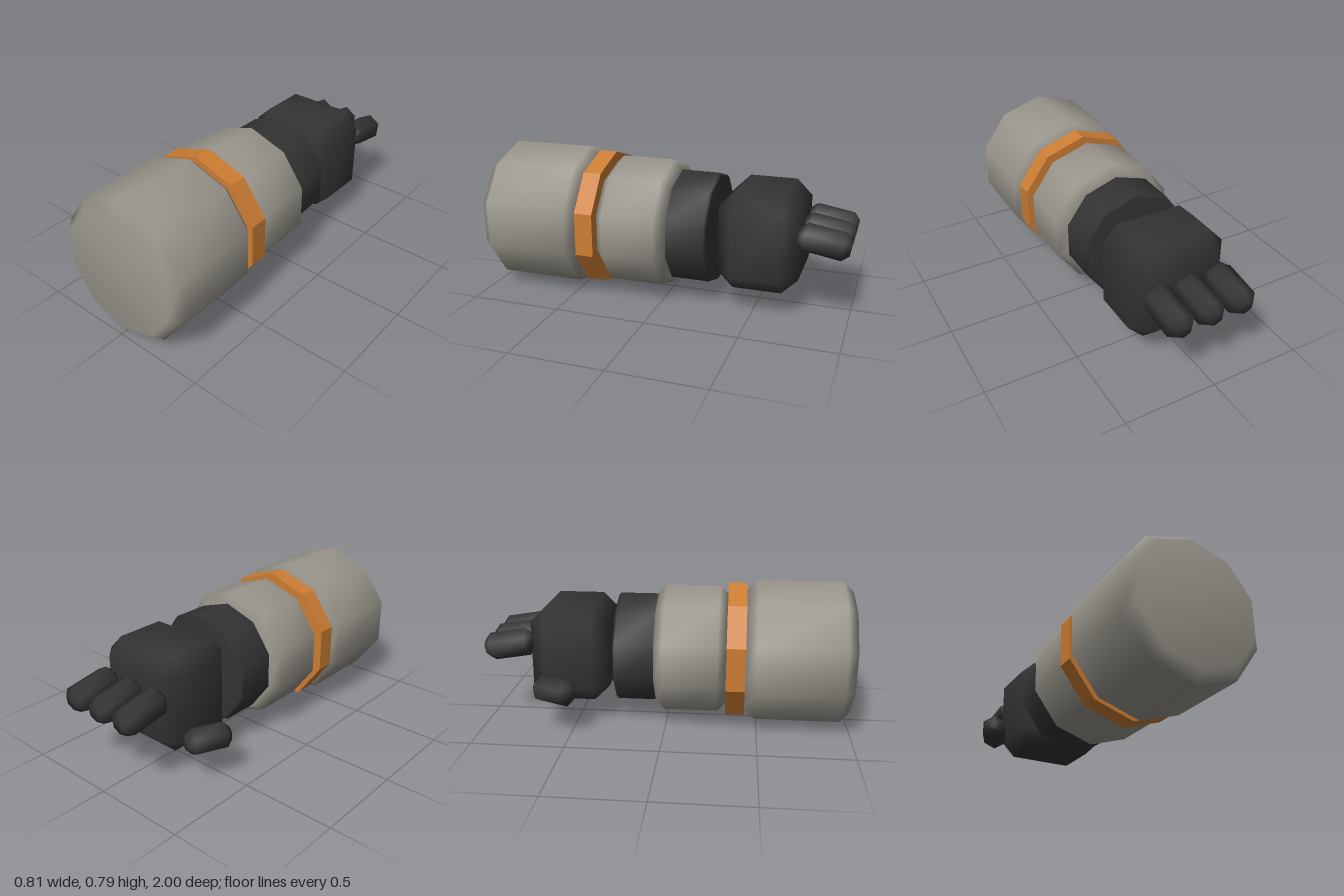
import * as THREE from 'three';
import { mergeVertices } from 'three/addons/utils/BufferGeometryUtils.js';
import { ConvexGeometry } from 'three/addons/geometries/ConvexGeometry.js';

const AXIS_X = 0.022, AXIS_Y = 0.397;

function material(name, color, flatShading = false) {
  const m = new THREE.MeshStandardMaterial({ color, flatShading });
  m.name = name;
  return m;
}

// Weld all corners so bevels blend softly into the faces
function soften(geometry) {
  geometry.deleteAttribute('normal');
  geometry.deleteAttribute('uv');
  const g = mergeVertices(geometry, 1e-4);
  g.computeVertexNormals();
  return g;
}

// Bevelled prism along z, centred on the origin, with a corner pointing up
function bevelledPrism(radius, length, bevel, sides) {
  const h = length / 2;
  const profile = [
    [0, -h], [radius - bevel, -h], [radius, -h + bevel],
    [radius, h - bevel], [radius - bevel, h], [0, h],
  ].map(([r, y]) => new THREE.Vector2(r, y));
  return soften(new THREE.LatheGeometry(profile, sides).rotateX(Math.PI / 2));
}

// Box with every edge and corner cut off
function bevelledBox(w, h, d, bevel) {
  const points = [];
  for (const x of [-1, 1]) for (const y of [-1, 1]) for (const z of [-1, 1]) {
    for (let axis = 0; axis < 3; axis++) {
      const half = [w / 2, h / 2, d / 2].map((v, i) => (i === axis ? v : v - bevel));
      points.push(new THREE.Vector3(x * half[0], y * half[1], z * half[2]));
    }
  }
  return soften(new ConvexGeometry(points));
}

export function createModel() {
  const group = new THREE.Group();
  group.name = 'mechanicalArm';
  const grey = material('warmGrey', 0x99958c);
  const dark = material('charcoal', 0x333333);
  const orange = material('orange', 0xcc7d33, true);

  function add(name, geometry, mat, x, y, z) {
    const mesh = new THREE.Mesh(geometry, mat);
    mesh.name = name;
    mesh.position.set(x, y, z);
    group.add(mesh);
    return mesh;
  }

  // Ten-sided arm sections between two z positions
  function section(name, radius, z0, z1, bevel, mat) {
    add(name, bevelledPrism(radius, z1 - z0, bevel, 10), mat, AXIS_X, AXIS_Y, (z0 + z1) / 2);
  }
  section('upperArm', 0.396, 0.43, 1.0, 0.056, grey);
  section('forearm', 0.36, -0.055, 0.335, 0.05, grey);
  section('wristCuff', 0.308, -0.275, -0.03, 0.014, dark);

  // Band between the arm sections
  const band = new THREE.CylinderGeometry(0.378, 0.378, 0.1, 10).rotateX(Math.PI / 2);
  add('elbowBand', band, orange, AXIS_X, AXIS_Y, 0.38);

  // Floating hand
  add('palm', bevelledBox(0.53, 0.525, 0.428, 0.085), dark, AXIS_X, AXIS_Y, -0.524);

  // Three fingers that droop slightly
  const finger = bevelledPrism(0.078, 0.27, 0.036, 6);
  for (let i = -1; i <= 1; i++) {
    const mesh = add('finger', finger, dark, AXIS_X + i * 0.172, 0.443, -0.859);
    mesh.rotation.x = -THREE.MathUtils.degToRad(9.5);
  }

  // Thumb on the model's right side
  const thumb = add('thumb', bevelledPrism(0.073, 0.235, 0.036, 6), dark, -0.317, 0.24, -0.583);
  thumb.rotation.y = -THREE.MathUtils.degToRad(24);

  return group;
}
